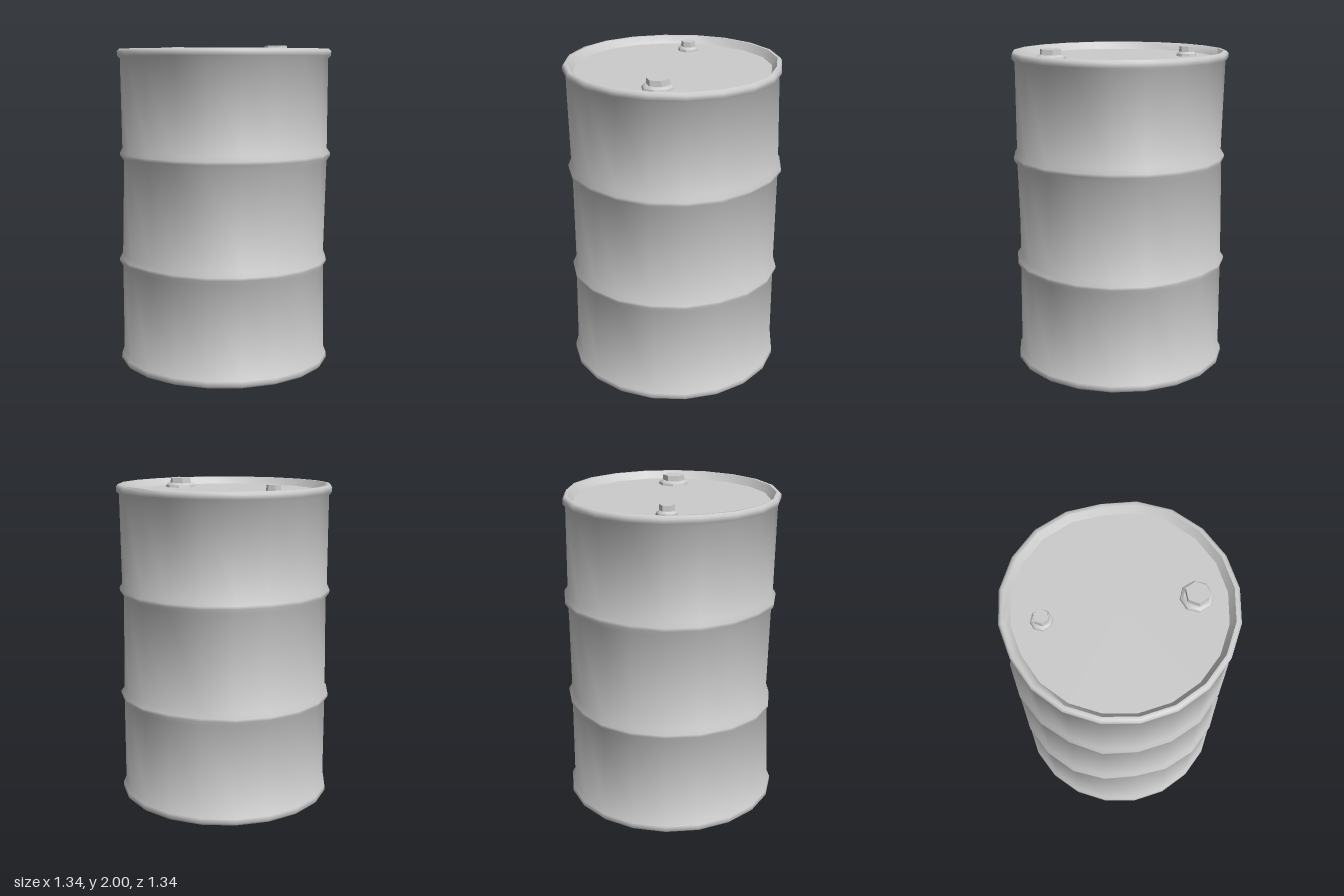
import * as THREE from 'three';
import { mergeVertices, toCreasedNormals } from 'three/addons/utils/BufferGeometryUtils.js';

const SIDES = 20;
const material = new THREE.MeshStandardMaterial({ color: 0xcccccc });

// Dents: angle from the front towards +x (degrees), height, half width, half height, depth
const DENTS = [
  [0, 0.68, 32, 0.2, 0.032],
  [8, 1.3, 28, 0.2, 0.022],
  [-40, 1.3, 26, 0.12, 0.02],
  [54, 1.3, 30, 0.12, 0.014],
  [90, 0.7, 20, 0.12, 0.014],
  [122, 0.68, 28, 0.14, 0.018],
  [150, 1.28, 24, 0.14, 0.022],
  [180, 1.97, 30, 0.12, 0.025],
  [207, 0.68, 30, 0.14, 0.03],
  [243, 1.36, 24, 0.14, 0.026],
  [288, 1.95, 30, 0.1, 0.012],
];

function dentDepth(angle, y) {
  let depth = 0;
  for (const [a, h, width, height, d] of DENTS) {
    const turn = Math.abs(((angle - a + 540) % 360) - 180);
    depth += d * Math.max(0, 1 - turn / width) * Math.max(0, 1 - Math.abs(y - h) / height);
  }
  return depth;
}

// Turned surface, pushed in by the dents
function dentedLathe(points) {
  const lathe = new THREE.LatheGeometry(points.map(([r, y]) => new THREE.Vector2(r, y)), SIDES);
  lathe.deleteAttribute('uv');
  lathe.deleteAttribute('normal');
  const geometry = mergeVertices(lathe, 1e-4);
  const p = geometry.attributes.position;
  for (let i = 0; i < p.count; i++) {
    const x = p.getX(i), y = p.getY(i), z = p.getZ(i);
    const r = Math.hypot(x, z);
    if (r < 0.3) continue;
    const angle = THREE.MathUtils.radToDeg(Math.atan2(x, z)) + 360;
    const scale = (r - dentDepth(angle, y)) / r;
    p.setXYZ(i, x * scale, y, z * scale);
  }
  return toCreasedNormals(geometry, 0.95);
}

function addMesh(parent, name, geometry) {
  const mesh = new THREE.Mesh(geometry, material);
  mesh.name = name;
  parent.add(mesh);
  return mesh;
}

// Screw plug: bevelled flange with a faceted head
function createPlug(name, x, flangeRadius, headRadius, flangeSides) {
  const plug = new THREE.Group();
  plug.name = name;
  const flange = new THREE.LatheGeometry([
    new THREE.Vector2(flangeRadius, 0),
    new THREE.Vector2(flangeRadius * 0.96, 0.015),
    new THREE.Vector2(headRadius * 1.08, 0.027),
    new THREE.Vector2(0, 0.027),
  ], flangeSides);
  addMesh(plug, 'plugFlange', toCreasedNormals(flange, 0.6));
  const head = new THREE.CylinderGeometry(headRadius * 0.96, headRadius, 0.035, 6);
  addMesh(plug, 'plugHead', toCreasedNormals(head, 0.6)).position.y = 0.0425;
  plug.position.set(x, 1.94, 0);
  return plug;
}

export function createModel() {
  const barrel = new THREE.Group();
  barrel.name = 'barrel';

  // Wall with rolled rims at both ends and two ribs
  addMesh(barrel, 'wall', dentedLathe([
    [0.605, 0.035], [0.635, 0.004], [0.655, 0.004], [0.668, 0.018], [0.666, 0.048], [0.65, 0.066],
    [0.65, 0.625], [0.67, 0.655], [0.67, 0.672], [0.65, 0.7],
    [0.65, 1.295], [0.67, 1.325], [0.67, 1.345], [0.65, 1.375],
    [0.65, 1.925], [0.666, 1.942], [0.668, 1.97], [0.655, 1.985], [0.637, 1.985], [0.605, 1.94],
  ]));

  // Recessed end plates
  addMesh(barrel, 'lid', dentedLathe([[0.605, 1.94], [0, 1.94]]));
  addMesh(barrel, 'base', dentedLathe([[0, 0.035], [0.605, 0.035]]));

  barrel.add(createPlug('largePlug', 0.43, 0.096, 0.07, 8));
  barrel.add(createPlug('smallPlug', -0.43, 0.065, 0.046, 8));
  return barrel;
}
